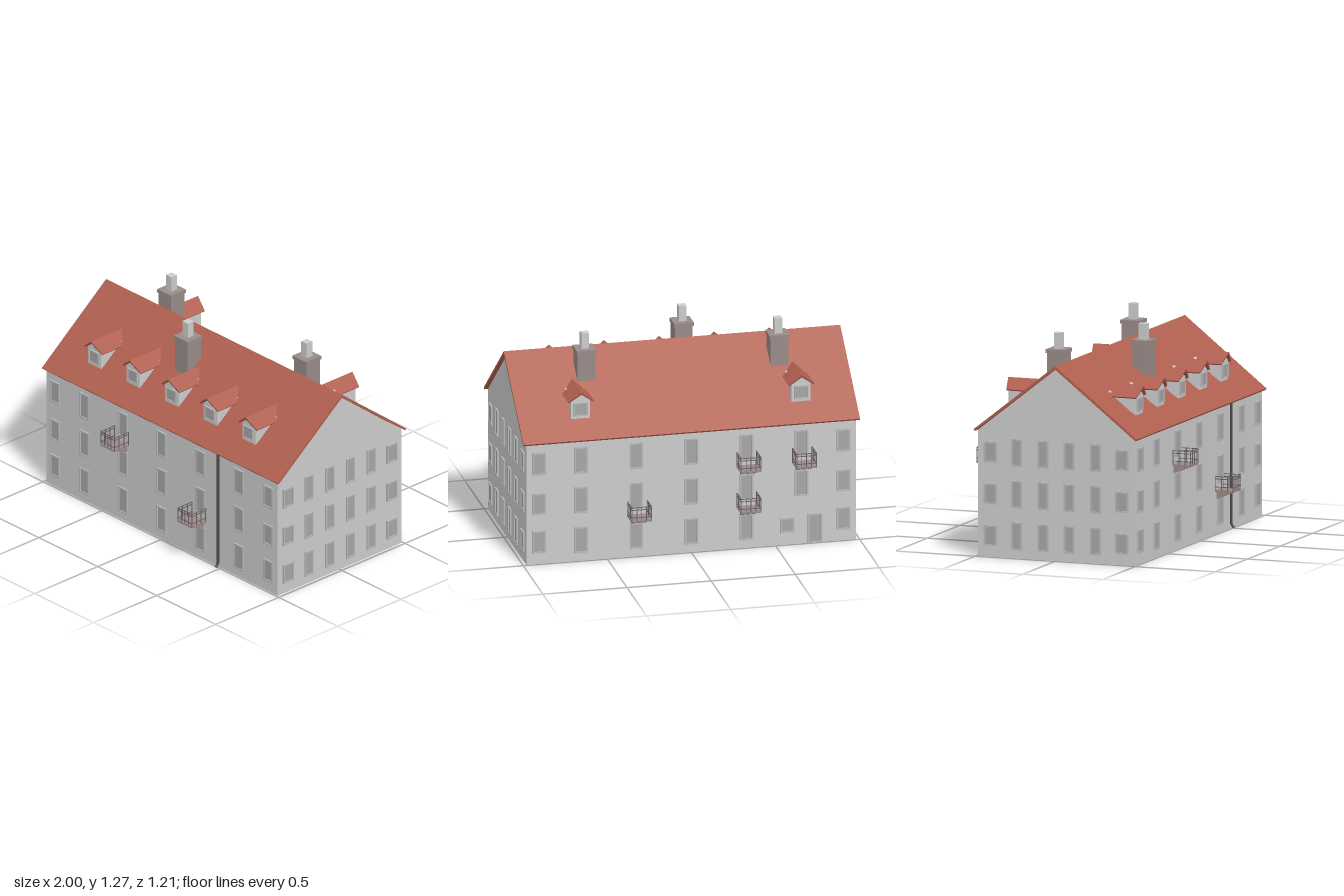
import * as THREE from 'three';

const mat = (name, color) => Object.assign(new THREE.MeshStandardMaterial({ color }), { name });

export function createModel() {
  const M = {
    wall: mat('wall plaster', 0xcccccc),
    frame: mat('window frame', 0xb8b8b8),
    glass: mat('window glass', 0xa6a6a6),
    roof: mat('roof tile', 0xb06050),
    stone: mat('chimney stone', 0x998b89),
    iron: mat('railing iron', 0x6b6064),
    pipe: mat('downpipe metal', 0x4a4848),
  };
  M.pipe.side = THREE.DoubleSide;

  const root = new THREE.Group();
  root.name = 'apartmentHouse';

  const add = (parent, name, geo, material, x = 0, y = 0, z = 0) => {
    const m = new THREE.Mesh(geo, material);
    m.name = name;
    m.position.set(x, y, z);
    parent.add(m);
    return m;
  };
  const box = (parent, name, material, w, h, d, x, y, z) =>
    add(parent, name, new THREE.BoxGeometry(w, h, d), material, x, y, z);
  const group = (parent, name, x = 0, y = 0, z = 0, turn = 0) => {
    const g = new THREE.Group();
    g.name = name;
    g.position.set(x, y, z);
    g.rotation.y = turn;
    parent.add(g);
    return g;
  };
  const poly = (pts) => new THREE.Shape(pts.map(([x, y]) => new THREE.Vector2(x, y)));
  const extrude = (shape, depth) =>
    new THREE.ExtrudeGeometry(shape, { depth, bevelEnabled: false, curveSegments: 6 });
  const chevron = (w, low, top, t) =>
    poly([[-w, low], [-w + t * 0.4, low - t * 0.5], [0, top - t], [w - t * 0.4, low - t * 0.5], [w, low], [0, top]]);
  // moves every vertex by a rule and refreshes the normals
  const reshape = (geo, rule) => {
    const p = geo.attributes.position;
    const v = new THREE.Vector3();
    for (let i = 0; i < p.count; i++) {
      rule(v.fromBufferAttribute(p, i));
      p.setXYZ(i, v.x, v.y, v.z);
    }
    geo.computeVertexNormals();
    return geo;
  };

  // hollow wall shell, open underneath
  const T = 0.03, EAVE = 0.74;
  const gable = poly([[-0.49, 0], [0.49, 0], [0.49, EAVE], [0, 1.125], [-0.49, EAVE]]);
  for (const x of [-0.98, 0.98 - T])
    add(root, 'gableWall', extrude(gable, T).rotateY(Math.PI / 2), M.wall, x);
  for (const s of [-1, 1])
    box(root, 'longWall', M.wall, 1.96 - 2 * T, EAVE, T, 0, EAVE / 2, s * (0.49 - T / 2));

  // main roof
  add(root, 'mainRoof', extrude(chevron(0.51, 0.745, 1.145, 0.02), 2).rotateY(Math.PI / 2), M.roof, -1);
  const roofZ = (y) => (1.145 - y) / 0.784;
  const roofY = (z) => 1.145 - 0.784 * z;

  // window: raised frame around a thin pane
  const windowAt = (parent, name, x, y0, y1, w, rim = 0.009) => {
    const h = y1 - y0, a = w / 2, b = a - rim;
    const g = group(parent, name, x, y0, 0);
    const s = poly([[-a, 0], [a, 0], [a, h], [-a, h]]);
    s.holes.push(poly([[-b, rim], [-b, h - rim], [b, h - rim], [b, rim]]));
    add(g, 'frame', extrude(s, 0.01), M.frame);
    box(g, 'pane', M.glass, 2 * b, h - 2 * rim, 0.004, 0, h / 2, 0.002);
  };

  // facades, each drawn facing +z and turned into place
  const facades = {
    front: group(root, 'frontFacade', 0, 0, 0.49, 0),
    back: group(root, 'backFacade', 0, 0, -0.49, Math.PI),
    left: group(root, 'leftFacade', 0.98, 0, 0, Math.PI / 2),
    right: group(root, 'rightFacade', -0.98, 0, 0, -Math.PI / 2),
  };
  const tall = [[0.05, 0.21], [0.295, 0.455], [0.54, 0.7]];
  const small = [[0.068, 0.205], [0.305, 0.435], [0.547, 0.685]];
  const gableSmall = [[0.065, 0.185], [0.31, 0.43], [0.555, 0.675]];
  for (const side of ['front', 'back']) {
    const f = facades[side];
    for (let level = 0; level < 3; level++) {
      for (const x of [-0.905, 0.905]) windowAt(f, 'endWindow', x, ...small[level], 0.08);
      for (const x of [-0.655, -0.328, 0, 0.328, 0.655]) {
        if (side === 'back' && level === 0 && x === 0.655) continue;
        windowAt(f, 'tallWindow', x, ...tall[level], 0.08);
      }
    }
  }
  for (const side of ['left', 'right'])
    for (let level = 0; level < 3; level++) {
      for (const x of [-0.41, 0.41]) windowAt(facades[side], 'gableEndWindow', x, ...gableSmall[level], 0.08);
      for (const x of [-0.246, -0.082, 0.082, 0.246])
        windowAt(facades[side], 'gableWindow', x, ...tall[level], 0.065);
    }

  // back entrance and the small window beside it
  windowAt(facades.back, 'backDoor', 0.735, 0, 0.18, 0.085);
  windowAt(facades.back, 'stairWindow', 0.57, 0.075, 0.165, 0.085);

  // balconies with curved brackets and iron rails
  const bracket = new THREE.Shape();
  bracket.moveTo(0, 0);
  bracket.lineTo(0, -0.045);
  bracket.quadraticCurveTo(0.055, -0.03, 0.1, 0);
  const balcony = (parent, x, y) => {
    const g = group(parent, 'balcony', x, y, 0);
    const W = 0.12, D = 0.115, H = 0.09, r = 0.004;
    box(g, 'floorSlab', M.stone, W, 0.01, D, 0, 0.005, D / 2);
    for (const bx of [-0.033, 0, 0.033])
      add(g, 'bracket', extrude(bracket, 0.014).rotateY(-Math.PI / 2), M.stone, bx + 0.007);
    const e = W / 2 - r / 2, f = D - r / 2;
    for (const ry of [0.028, 0.075, H]) {
      box(g, 'frontRail', M.iron, W, r, r, 0, ry, f);
      for (const s of [-1, 1]) box(g, 'sideRail', M.iron, r, r, D, s * e, ry, D / 2);
    }
    for (let i = 0; i <= 4; i++) box(g, 'frontPost', M.iron, r, H, r, -e + (i * e) / 2, H / 2, f);
    for (const s of [-1, 1])
      for (const z of [0.004, 0.04, 0.077]) box(g, 'sidePost', M.iron, r, H, r, s * e, H / 2, z);
  };
  balcony(facades.front, -0.34, 0.5);
  balcony(facades.front, 0.315, 0.25);
  for (const [x, y] of [[-0.32, 0.25], [0.33, 0.25], [0.33, 0.5], [0.66, 0.5]]) balcony(facades.back, x, y);

  // dormers
  const dormer = (x, turn) => {
    const g = group(root, 'dormer', x, 0, 0, turn);
    const face = poly([[-0.056, 0.84], [0.056, 0.84], [0.056, 0.95], [0, 0.993], [-0.056, 0.95]]);
    const body = reshape(extrude(face, 0.195).translate(0, 0, 0.2), (v) => {
      v.y = Math.max(v.y, roofY(v.z) - 0.02);
    });
    add(g, 'dormerWalls', body, M.wall);
    const cover = reshape(extrude(chevron(0.078, 0.947, 1.008, 0.014), 1), (v) => {
      v.z = v.z > 0.5 ? 0.405 + 0.02 * ((v.y - 0.945) / 0.065) : roofZ(v.y) - 0.02;
    });
    add(g, 'dormerRoof', cover, M.roof);
    windowAt(group(g, 'dormerFront', 0, 0, 0.395), 'dormerWindow', 0, 0.858, 0.938, 0.084, 0.006);
  };
  for (const x of [-0.675, -0.348, -0.02, 0.307, 0.635]) dormer(x, 0);
  for (const x of [-0.675, 0.635]) dormer(x, Math.PI);

  // chimneys
  for (const [x, z] of [[-0.595, -0.14], [0.553, -0.14], [-0.102, 0.19]]) {
    const g = group(root, 'chimney', x, 0, z);
    box(g, 'shaft', M.stone, 0.106, 0.23, 0.106, 0, 1.055, 0);
    box(g, 'cap', M.stone, 0.118, 0.022, 0.118, 0, 1.17, 0);
    box(g, 'flue', M.wall, 0.046, 0.095, 0.046, 0, 1.2275, 0);
  }

  // downpipe with a kicked-out foot
  const path = new THREE.CurvePath();
  const pts = [[0.735, 0.499], [0.03, 0.499], [0.006, 0.516]].map(([y, z]) => new THREE.Vector3(0.483, y, z));
  path.add(new THREE.LineCurve3(pts[0], pts[1]));
  path.add(new THREE.LineCurve3(pts[1], pts[2]));
  add(root, 'downpipe', new THREE.TubeGeometry(path, 48, 0.008, 8), M.pipe);

  return root;
}
